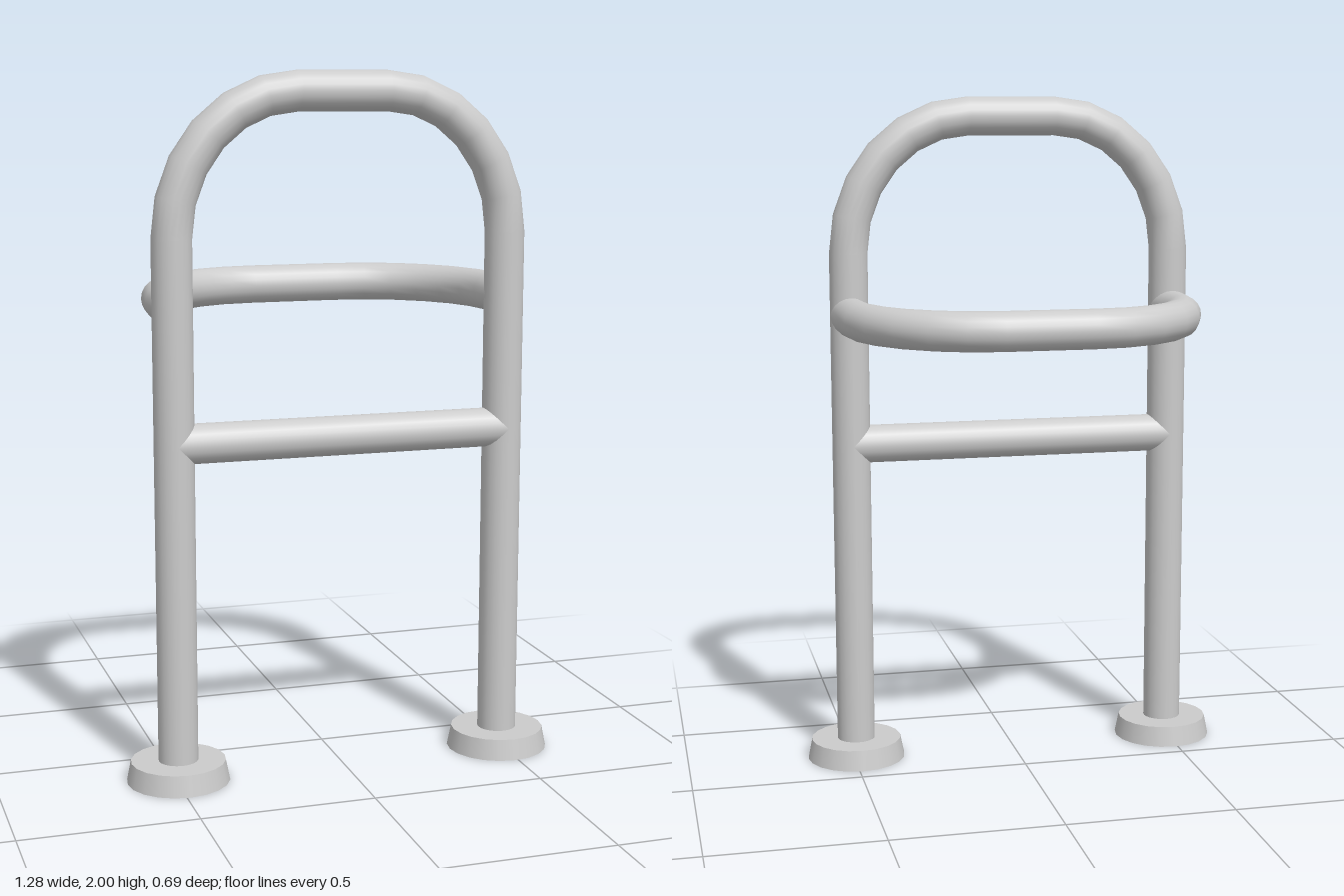
import * as THREE from 'three';

const R = 0.057;       // tube radius
const POST_X = 0.49;   // post centre line
const POST_Z = 0.195;
const FLAT = 0.13;     // half length of the straight middle of a hoop
const RISE = 0.398;    // depth of a hoop's curved corners
const ARC_STEPS = 6;

const material = new THREE.MeshStandardMaterial({ color: 0xcccccc, side: THREE.DoubleSide });

// Curve through given points with given tangents, one ring per point
class RingPath extends THREE.Curve {
  constructor(rings) {
    super();
    this.rings = rings;
  }
  ring(u) {
    return this.rings[Math.round(u * (this.rings.length - 1))];
  }
  getPointAt(u) {
    return this.ring(u).point.clone();
  }
  getTangentAt(u) {
    return this.ring(u).tangent.clone();
  }
}

// U-shaped tube in the xy plane: legs from `start` up to a crown at `top`
function hoop(name, start, top) {
  const spring = top - RISE;
  const width = POST_X - FLAT;
  const rings = [];
  const add = (x, y, tx, ty) => rings.push({
    point: new THREE.Vector3(x, y, 0),
    tangent: new THREE.Vector3(tx, ty, 0).normalize(),
  });
  add(-POST_X, start, 0, 1);
  for (const side of [-1, 1]) {
    for (let i = 0; i <= ARC_STEPS; i++) {
      const k = side < 0 ? i : ARC_STEPS - i;
      const a = (k / ARC_STEPS) * Math.PI / 2;
      const c = Math.cos(a), s = Math.sin(a);
      add(side * (FLAT + width * c), spring + RISE * s, width * s, -side * RISE * c);
    }
  }
  add(POST_X, start, 0, -1);
  const geometry = new THREE.TubeGeometry(new RingPath(rings), rings.length - 1, R, 20, false);
  const mesh = new THREE.Mesh(geometry, material);
  mesh.name = name;
  return mesh;
}

export function createModel() {
  const group = new THREE.Group();
  group.name = 'hoopRail';

  // Upright frame: both posts and the arched top in one bent tube
  const frame = hoop('uprightFrame', 0.02, 1.943);
  frame.position.z = POST_Z;
  group.add(frame);

  // Horizontal hoop reaching back from the posts
  const backHoop = hoop('backHoop', -POST_Z, 0.293);
  backHoop.rotation.x = -Math.PI / 2;
  backHoop.position.y = 1.362;
  group.add(backHoop);

  // Straight rail between the posts
  const crossbar = new THREE.Mesh(
    new THREE.CylinderGeometry(R, R, POST_X * 2, 20, 1, true), material);
  crossbar.name = 'crossbar';
  crossbar.rotation.z = Math.PI / 2;
  crossbar.position.set(0, 0.975, POST_Z);
  group.add(crossbar);

  // Hollow flared floor flanges
  const profile = [[0.148, 0], [0.136, 0.06], [R - 0.002, 0.06]]
    .map(([x, y]) => new THREE.Vector2(x, y));
  for (const side of [-1, 1]) {
    const flange = new THREE.Group();
    flange.name = side > 0 ? 'leftFlange' : 'rightFlange';
    // Skirt and top plate kept apart so the rim stays sharp
    [['skirt', 0], ['topPlate', 1]].forEach(([name, i]) => {
      const part = new THREE.Mesh(
        new THREE.LatheGeometry(profile.slice(i, i + 2), 20), material);
      part.name = name;
      flange.add(part);
    });
    flange.position.set(side * POST_X, 0, POST_Z);
    group.add(flange);
  }

  return group;
}
